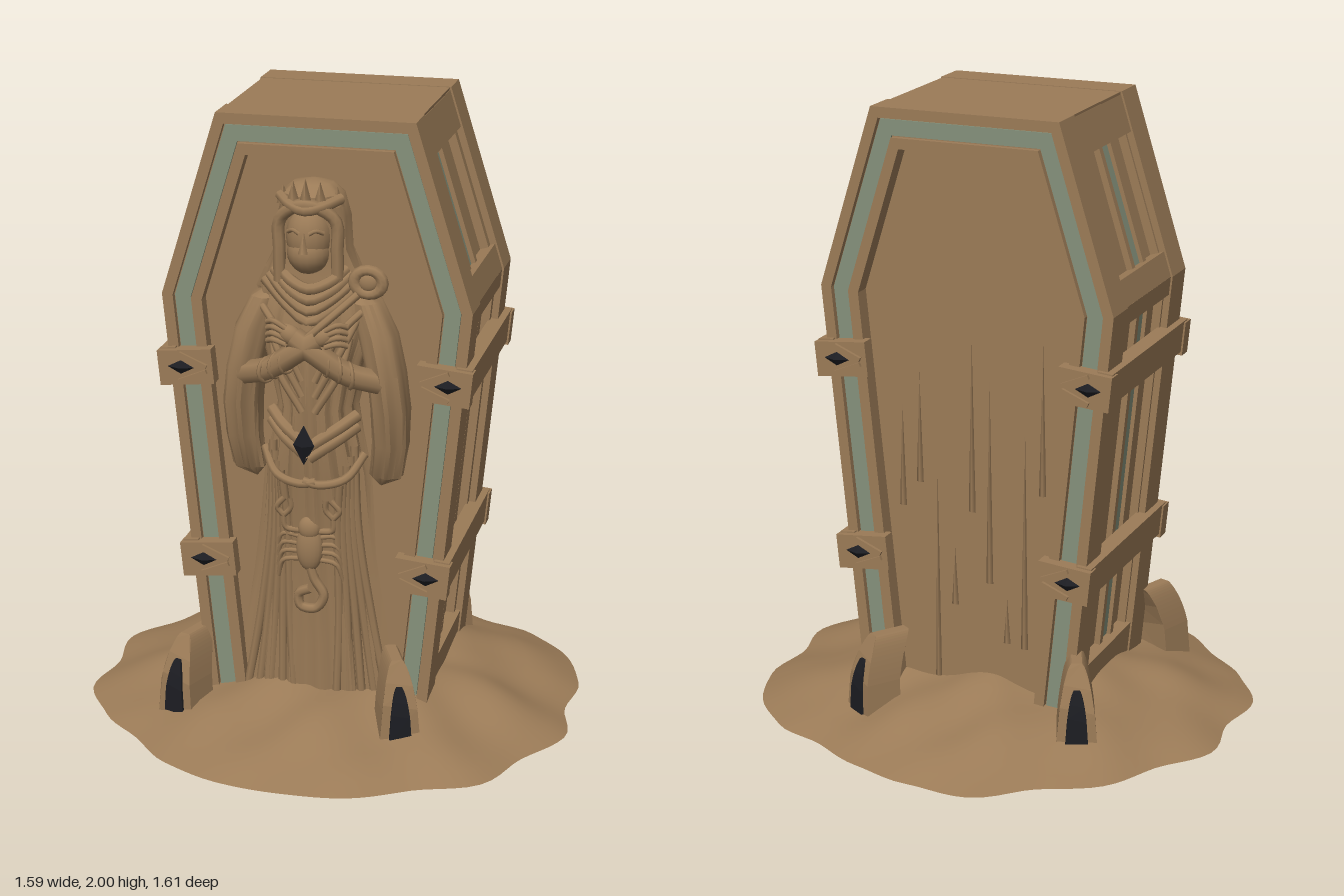
import * as THREE from 'three';
import { toCreasedNormals } from 'three/addons/utils/BufferGeometryUtils.js';

const material = (name, color, side = THREE.FrontSide) => Object.assign(new THREE.MeshStandardMaterial({ color, side }), { name });
const wood = material('carved wood', 0x9b7b57);
const green = material('faded green inlay', 0x85917b);
const black = material('black stone', 0x1c1d22);
const V = (x, y, z) => new THREE.Vector3(x, y, z);

function add(parent, name, geo, mat, x = 0, y = 0, z = 0) {
  const m = new THREE.Mesh(geo, mat);
  m.name = name;
  m.position.set(x, y, z);
  parent.add(m);
  return m;
}
const box = (w, h, d) => new THREE.BoxGeometry(w, h, d);

// Closed skin of rows; fn(row, angle) gives a point, angle 0 faces +z
function skin(rows, segs, fn, crease = 0.7) {
  const pos = [], idx = [];
  for (let i = 0; i < rows; i++)
    for (let j = 0; j < segs; j++) pos.push(...fn(i, j / segs * Math.PI * 2));
  for (let i = 0; i < rows - 1; i++)
    for (let j = 0; j < segs; j++) {
      const k = (j + 1) % segs, a = i * segs, b = a + segs;
      idx.push(a + j, a + k, b + k, a + j, b + k, b + j);
    }
  const g = new THREE.BufferGeometry();
  g.setAttribute('position', new THREE.Float32BufferAttribute(pos, 3));
  g.setIndex(idx);
  return toCreasedNormals(g, crease);
}
// Loft of ellipses [y, cx, cz, rx, rz] with vertical folds
const loft = (s, segs = 32, folds = 0, depth = 0) => skin(s.length, segs, (i, a) => {
  const [y, cx, cz, rx, rz] = s[i];
  const f = 1 + depth * (1 - i / s.length) * Math.sin(a * folds + i * 0.25);
  return [cx + rx * f * Math.sin(a), y, cz + rz * f * Math.cos(a)];
});
const tube = (pts, r, segs = 14) => new THREE.TubeGeometry(new THREE.CatmullRomCurve3(pts.map(p => V(...p))), segs, r, 7);
function ball(parent, name, x, y, z, rx, ry, rz, mat = wood) {
  const m = add(parent, name, new THREE.SphereGeometry(1, 18, 12), mat, x, y, z);
  m.scale.set(rx, ry, rz);
  return m;
}

// Coffin outline: foot, shoulder and head corners of one side
const edges = [[[0.36, 0.1], [0.49, 1.42]], [[0.49, 1.42], [0.31, 2]]].map(([p, q]) => {
  const dx = q[0] - p[0], dy = q[1] - p[1], l = Math.hypot(dx, dy);
  return { nx: dy / l, ny: -dx / l, c: (dy * p[0] - dx * p[1]) / l, turn: -Math.atan2(dx, dy), uy: dy / l };
});
const xAt = (e, y, d) => (e.c - d - e.ny * y) / e.nx;
function outline(d) {
  const [e, f] = edges, det = e.nx * f.ny - e.ny * f.nx;
  const bx = ((e.c - d) * f.ny - (f.c - d) * e.ny) / det, by = (e.nx * (f.c - d) - f.nx * (e.c - d)) / det;
  const half = [[xAt(e, 0.1, d), 0.1], [bx, by], [xAt(f, 2 - d, d), 2 - d]];
  return [...half, ...half.map(([x, y]) => [-x, y]).reverse()];
}
function slab(pts, z0, z1) {
  const g = new THREE.ExtrudeGeometry(new THREE.Shape(pts.map(p => new THREE.Vector2(...p))), { depth: z1 - z0, bevelEnabled: false });
  return g.translate(0, 0, z0);
}
const rim = (d0, d1, z0, z1) => slab([...outline(d0), ...outline(d1).reverse()], z0, z1);

// Block lying along a coffin side, its outer face set in by d
function sideBlock(parent, name, s, e, y0, y1, d, thick, z0, z1, mat = wood) {
  const y = (y0 + y1) / 2, x = xAt(e, y, d) - e.nx * thick / 2;
  const m = add(parent, name, box(thick, (y1 - y0) / e.uy, z1 - z0), mat, s * x, y - e.ny * thick / 2, (z0 + z1) / 2);
  m.rotation.z = s * e.turn;
}

function buildCoffin() {
  const g = new THREE.Group();
  g.name = 'coffin';
  add(g, 'core', slab(outline(0.05), -0.275, 0.265), wood);
  for (const [label, f, z] of [['front', 1, 0.31], ['back', -1, -0.33]]) {
    const band = (name, d0, d1, a, b, mat = wood) => add(g, label + name, rim(d0, d1, Math.min(z - f * a, z - f * b), Math.max(z - f * a, z - f * b)), mat);
    band('Frame', 0.004, 0.122, 0.12, 0.02);
    band('OuterRail', 0, 0.034, 0.12, 0);
    band('InnerRail', 0.092, 0.126, 0.12, 0);
    band('Inlay', 0.038, 0.088, 0.02, 0.012, green);
  }
  add(g, 'topBoard', box(0.61, 0.1, 0.6), wood, 0, 1.948, -0.01);
  const [low, high] = edges;
  for (const s of [-1, 1]) {
    for (const [e, a, b] of [[low, 0.2, 1.38], [high, 1.48, 1.9]]) {
      sideBlock(g, 'sideInlay', s, e, a, b, 0.043, 0.009, 0, 0.065, green);
      for (const z of [0.065, -0.03]) sideBlock(g, 'sideRib', s, e, a, b, 0.03, 0.03, z, z + 0.025);
      for (const z of [0.18, -0.215]) sideBlock(g, 'sideEdge', s, e, a, b, 0.022, 0.04, z, z + 0.035);
    }
    for (const [e, a, b] of [[low, 0.1, 0.22], [low, 1.36, 1.42], [high, 1.42, 1.5], [high, 1.875, 1.99]])
      sideBlock(g, 'crossBoard', s, e, a, b, 0.006, 0.06, -0.21, 0.21);
    // Straps wrap round the side and end in gem clasps
    for (const y of [1.195, 0.558]) {
      sideBlock(g, 'strap', s, low, y - 0.052, y + 0.052, -0.022, 0.05, -0.345, 0.325);
      for (const [f, z] of [[1, 0.32], [-1, -0.34]]) {
        const x = s * (xAt(low, y, 0) - 0.06);
        const clasp = add(g, 'clasp', box(0.175, 0.112, 0.05), wood, x, y, z);
        clasp.rotation.z = s * low.turn;
        const gem = add(g, 'claspGem', new THREE.OctahedronGeometry(1), black, x + s * 0.015, y, z + f * 0.022);
        gem.scale.set(0.05, 0.026, 0.02);
        for (const k of [-1, 1]) {
          const lid = add(g, 'claspLid', box(0.095, 0.014, 0.02), wood, x - s * 0.025, y + k * 0.026, z + f * 0.026);
          lid.rotation.z = s * k * 0.4;
        }
      }
    }
  }
  // Weathered grain on the back panel
  for (let i = 0; i < 9; i++) {
    const h = 0.5 + 0.35 * Math.sin(i * 2.3), m = add(g, 'grain', new THREE.ConeGeometry(0.012, h, 4), wood, -0.24 + i * 0.06, 0.7 + 0.35 * Math.cos(i * 1.7), -0.275);
    m.scale.z = 0.5;
  }
  return g;
}

function buildFigure() {
  const g = new THREE.Group();
  g.name = 'carvedFigure';
  add(g, 'robe', loft([[0.1, 0, 0.25, 0.26, 0.08], [0.3, 0, 0.25, 0.235, 0.085], [0.5, 0, 0.25, 0.205, 0.09], [0.7, 0, 0.25, 0.18, 0.11],
    [0.88, 0, 0.25, 0.165, 0.135], [1, 0, 0.25, 0.14, 0.15], [1.1, 0, 0.25, 0.125, 0.15], [1.25, 0, 0.25, 0.16, 0.16],
    [1.38, 0, 0.25, 0.205, 0.15], [1.46, 0, 0.25, 0.18, 0.13], [1.53, 0, 0.25, 0.09, 0.11], [1.56, 0, 0.25, 0, 0]], 96, 17, 0.09), wood);
  // Hood, face veil and crown
  add(g, 'hood', loft([[1.4, -0.01, 0.26, 0.15, 0.1], [1.46, -0.01, 0.26, 0.18, 0.12], [1.52, -0.01, 0.26, 0.155, 0.11], [1.6, -0.01, 0.27, 0.118, 0.1],
    [1.7, -0.01, 0.27, 0.112, 0.105], [1.77, -0.01, 0.28, 0.095, 0.095], [1.8, -0.01, 0.28, 0.06, 0.06], [1.81, -0.01, 0.28, 0, 0]], 40, 12, 0.05), wood);
  ball(g, 'face', -0.01, 1.645, 0.335, 0.072, 0.1, 0.075);
  ball(g, 'faceVeil', -0.01, 1.595, 0.34, 0.068, 0.07, 0.074);
  const nose = add(g, 'nose', new THREE.ConeGeometry(0.016, 0.07, 5), wood, -0.01, 1.64, 0.41);
  nose.rotation.x = -0.15;
  add(g, 'hoodEdge', tube([[-0.1, 1.5, 0.35], [-0.1, 1.6, 0.355], [-0.095, 1.7, 0.36], [-0.01, 1.75, 0.385], [0.075, 1.7, 0.36], [0.08, 1.6, 0.355], [0.08, 1.5, 0.35]], 0.02, 28), wood);
  for (let i = 0; i < 4; i++)
    add(g, 'cowlFold', tube([[-0.11 - i * 0.015, 1.54 - i * 0.015, 0.32], [-0.06, 1.51 - i * 0.03, 0.375], [0, 1.49 - i * 0.035, 0.39], [0.06, 1.51 - i * 0.03, 0.375], [0.1 + i * 0.015, 1.54 - i * 0.015, 0.32]], 0.018), wood);
  add(g, 'crownBand', tube([[-0.105, 1.76, 0.32], [-0.06, 1.745, 0.375], [-0.01, 1.735, 0.395], [0.04, 1.745, 0.375], [0.085, 1.76, 0.32]], 0.017), wood);
  for (let i = -2; i <= 2; i++) {
    const spike = add(g, 'crownPoint', new THREE.ConeGeometry(0.022, 0.085 - 0.012 * Math.abs(i), 4), wood, -0.01 + i * 0.042, 1.79 - 0.006 * i * i, 0.385 - 0.015 * i * i);
    spike.scale.z = 0.6;
  }
  for (const s of [-1, 1]) {
    add(g, 'eyelid', tube([[-0.01 + s * 0.015, 1.665, 0.404], [-0.01 + s * 0.034, 1.675, 0.4], [-0.01 + s * 0.055, 1.665, 0.383]], 0.007, 6), wood);
    // Hanging sleeve, upper arm and crossed forearm
    add(g, 'sleeve', loft([[0.83, s * 0.2, 0.27, 0, 0], [0.87, s * 0.22, 0.28, 0.05, 0.04], [0.98, s * 0.235, 0.29, 0.055, 0.06], [1.1, s * 0.235, 0.3, 0.06, 0.08],
      [1.22, s * 0.222, 0.3, 0.058, 0.09], [1.34, s * 0.195, 0.3, 0.06, 0.08], [1.44, s * 0.155, 0.29, 0.05, 0.065], [1.48, s * 0.13, 0.28, 0, 0]], 28, 7, 0.14), wood);
    add(g, 'forearm', tube([[s * 0.215, 1.2, 0.36], [s * 0.12, 1.235, 0.405], [s * 0.03, 1.3, 0.43], [-s * 0.04, 1.345, 0.425]], 0.037), wood);
    for (let i = 0; i < 3; i++) {
      const c = add(g, 'cuff', new THREE.TorusGeometry(0.038, 0.007, 6, 14), wood, s * (0.13 - i * 0.035), 1.228 + i * 0.02, 0.4 + i * 0.009);
      c.rotation.y = s * -1.1;
    }
    ball(g, 'hand', -s * 0.05, 1.352, 0.422, 0.042, 0.03, 0.026).rotation.z = -s * 0.6;
    for (let i = 0; i < 4; i++)
      add(g, 'finger', tube([[-s * 0.06, 1.375 - i * 0.017, 0.435], [-s * 0.1, 1.395 - i * 0.02, 0.43], [-s * 0.125, 1.385 - i * 0.02, 0.41]], 0.009, 6), wood);
    // Chest and skirt folds
    for (let i = 0; i < 3; i++)
      add(g, 'chestFold', tube([[s * (0.17 - i * 0.02), 1.43 - i * 0.02, 0.34], [s * 0.1, 1.36 - i * 0.06, 0.395], [s * 0.02, 1.2 - i * 0.05, 0.4]], 0.012), wood);
    for (let i = 0; i < 5; i++)
      add(g, 'skirtFold', tube([[s * (0.13 - i * 0.01), 0.98 - i * 0.03, 0.335 + i * 0.009], [s * (0.14 - i * 0.015), 0.7, 0.325 + i * 0.006], [s * (0.18 - i * 0.025), 0.4, 0.305 + i * 0.006], [s * (0.23 - i * 0.04), 0.12, 0.295 + i * 0.007]], 0.014), wood);
    add(g, 'skirtSwag', tube([[s * 0.16, 0.95, 0.32], [s * 0.11, 0.88, 0.37], [s * 0.03, 0.86, 0.39], [-s * 0.02, 0.87, 0.39]], 0.014), wood);
    for (const k of [0, 1])
      add(g, 'belt', tube([[s * 0.135, 1.075 - k * 0.035, 0.32], [s * 0.08, 1.04 - k * 0.035, 0.375], [0, 0.985 - k * 0.035, 0.398]], 0.02), wood);
  }
  const gem = add(g, 'beltGem', new THREE.OctahedronGeometry(1), black, -0.012, 0.995, 0.412);
  gem.scale.set(0.034, 0.065, 0.022);
  // Sceptre
  add(g, 'sceptreShaft', tube([[-0.08, 1.27, 0.44], [0.05, 1.39, 0.43], [0.15, 1.48, 0.38]], 0.013), wood);
  const head = add(g, 'sceptreHead', new THREE.TorusGeometry(0.038, 0.017, 8, 16), wood, 0.178, 1.515, 0.36);
  head.scale.set(1.15, 1, 1);
  ball(g, 'sceptreKnob', 0.178, 1.515, 0.36, 0.03, 0.03, 0.015);
  return g;
}

function buildScorpion() {
  const g = new THREE.Group();
  g.name = 'scorpion';
  g.position.set(-0.01, 0, 0.352);
  ball(g, 'body', 0, 0.635, 0, 0.044, 0.08, 0.028);
  ball(g, 'shell', 0, 0.7, 0.003, 0.036, 0.04, 0.025);
  add(g, 'tail', tube([[0, 0.58, 0], [0.015, 0.53, 0], [0.045, 0.475, 0], [0.02, 0.43, 0], [-0.03, 0.435, 0], [-0.035, 0.475, 0], [0.005, 0.5, 0.01]], 0.016, 32), wood);
  for (const s of [-1, 1]) {
    add(g, 'pincerArm', tube([[s * 0.025, 0.69, 0], [s * 0.075, 0.7, 0.005], [s * 0.08, 0.75, 0.01]], 0.011), wood);
    for (const k of [-1, 1]) add(g, 'pincer', tube([[s * 0.08, 0.74, 0.01], [s * 0.078 + k * 0.022, 0.77, 0.015], [s * 0.065 + k * 0.008, 0.805, 0.02]], 0.01, 8), wood);
    for (let i = 0; i < 4; i++)
      add(g, 'leg', tube([[s * 0.03, 0.67 - i * 0.025, 0], [s * 0.085, 0.675 - i * 0.03, 0], [s * 0.105, 0.63 - i * 0.035, -0.015]], 0.008, 8), wood);
  }
  return g;
}

// Pointed stone foot with a dark arched niche, facing +z
function buildFoot(x, z, turn) {
  const g = new THREE.Group();
  g.name = 'cornerStone';
  const arch = (w, y0, y1) => {
    const s = new THREE.Shape();
    s.moveTo(-w, y0).lineTo(w, y0).lineTo(w * 0.85, y0 + (y1 - y0) * 0.45).quadraticCurveTo(w * 0.6, y1 * 0.93, w * 0.25, y1);
    s.lineTo(-w * 0.25, y1).quadraticCurveTo(-w * 0.6, y1 * 0.93, -w * 0.85, y0 + (y1 - y0) * 0.45).lineTo(-w, y0);
    return s;
  };
  const body = new THREE.ExtrudeGeometry(arch(0.066, 0.04, 0.31), { depth: 0.12, bevelEnabled: false }).translate(0, 0, -0.06);
  const niche = new THREE.ExtrudeGeometry(arch(0.036, 0.06, 0.235), { depth: 0.008, bevelEnabled: false }).translate(0, 0, 0.06);
  // Both lean back towards the coffin
  for (const geo of [body, niche]) {
    const p = geo.attributes.position;
    for (let i = 0; i < p.count; i++) p.setZ(i, p.getZ(i) - Math.max(0, p.getY(i) - 0.1) ** 2 * 1.4);
    geo.computeVertexNormals();
  }
  add(g, 'stone', body, wood);
  add(g, 'niche', niche, black);
  g.position.set(x, 0, z);
  g.rotation.y = turn;
  return g;
}

// Sandy mound: radii every 15 degrees, from +x towards +z
const shore = [0.76, 0.82, 0.79, 0.84, 0.79, 0.81, 0.8, 0.8, 0.79, 0.76, 0.79, 0.82, 0.77, 0.82, 0.77, 0.8, 0.77, 0.83, 0.79, 0.76, 0.74, 0.79, 0.81, 0.8];
function buildMound() {
  const rows = 16;
  const geo = skin(rows, 120, (i, a) => {
    const q = ((90 - a * 180 / Math.PI + 720) % 360) / 15, k = Math.floor(q), f = q - k;
    const r0 = THREE.MathUtils.lerp(shore[k % 24], shore[(k + 1) % 24], f * f * (3 - 2 * f));
    const t = i === 0 ? 0 : 1 - (i - 1) / (rows - 2), r = r0 * t, x = r * Math.sin(a), z = r * Math.cos(a);
    const ripple = 0.009 * Math.sin(9 * x + 14 * z + 2 * Math.sin(5 * x)) + 0.007 * Math.sin(17 * x - 11 * z);
    return [x, i === 0 ? 0 : 0.185 * (1 - t ** 1.8) + ripple * Math.min(1, (1 - t) * 4), z];
  });
  const m = new THREE.Mesh(geo, wood);
  m.name = 'mound';
  return m;
}

export function createModel() {
  const model = new THREE.Group();
  model.name = 'sarcophagus';
  model.add(buildCoffin(), buildFigure(), buildScorpion(), buildMound());
  for (const [x, z, turn] of [[-0.415, 0.385, -0.35], [0.29, 0.425, 0.4], [-0.405, -0.39, Math.PI + 0.4], [0.28, -0.43, Math.PI - 0.6]])
    model.add(buildFoot(x, z, turn));
  return model;
}
